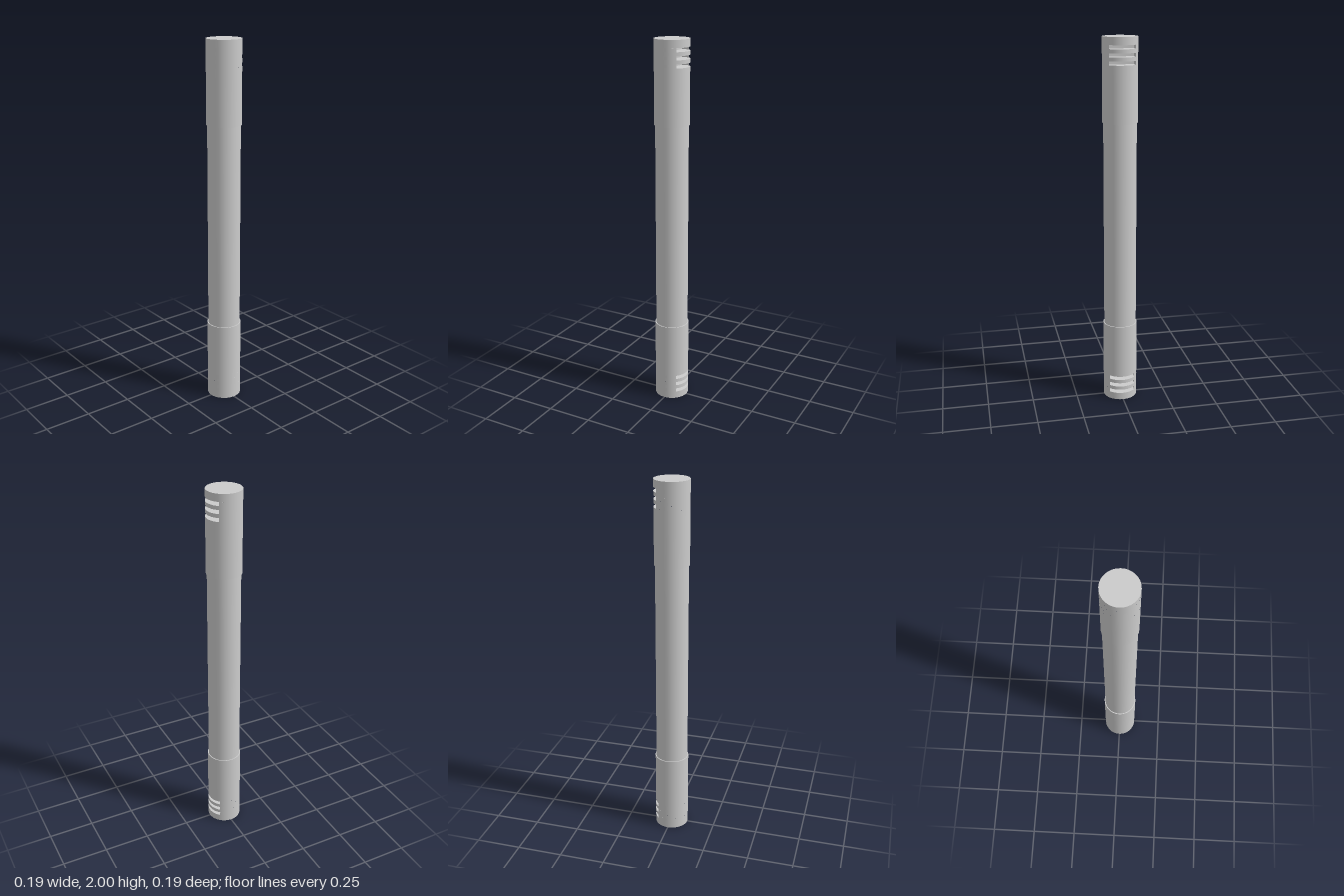
import * as THREE from 'three';

const R = 0.093, R_MID = 0.088, SLEEVE = 0.44;   // radii and length of the thicker ends
const SLOT_H = 0.02, SLOT_FROM_END = [0.04, 0.08, 0.12];
const A = THREE.MathUtils.degToRad(48);          // half angle of a slot opening
const HALF_W = R * Math.sin(A), LIP = R * Math.cos(A), FLOOR = 0.02;

export function createModel() {
  const model = new THREE.Group();
  const material = new THREE.MeshStandardMaterial({ color: 0xcccccc });

  const add = (parent, name, geometry, x = 0, y = 0, z = 0) => {
    const mesh = new THREE.Mesh(geometry, material);
    mesh.name = name;
    mesh.position.set(x, y, z);
    parent.add(mesh);
  };

  // Open wall between two heights; half = half angle left open at the back
  const wall = (parent, name, r, y0, y1, half = 0) =>
    add(parent, name, new THREE.CylinderGeometry(r, r, y1 - y0, half ? 24 : 32, 1, true,
      Math.PI + half, 2 * Math.PI - 2 * half), 0, (y0 + y1) / 2);

  // Flat piece turned to face up (+1) or down (-1)
  const facing = (geometry, dir) => geometry.rotateX(-dir * Math.PI / 2);

  // Outline of the slot's ledge, with its curved edge at the back
  const ledge = new THREE.Shape();
  ledge.moveTo(-HALF_W, FLOOR);
  ledge.lineTo(HALF_W, FLOOR);
  ledge.absarc(0, 0, R, Math.PI / 2 - A, Math.PI / 2 + A, false);
  ledge.closePath();

  // Recess behind one slot
  const slot = (parent, y) => {
    const group = new THREE.Group();
    group.name = 'ventSlot';
    parent.add(group);
    const mid = y + SLOT_H / 2, depth = LIP - FLOOR;
    add(group, 'slotLedge', facing(new THREE.ShapeGeometry(ledge, 8), 1), 0, y);
    add(group, 'slotCeiling', facing(new THREE.ShapeGeometry(ledge, 8), -1).rotateY(Math.PI), 0, y + SLOT_H);
    add(group, 'slotBack', new THREE.PlaneGeometry(2 * HALF_W, SLOT_H).rotateY(Math.PI), 0, mid, -FLOOR);
    for (const side of [-1, 1]) {
      add(group, 'slotEnd', new THREE.PlaneGeometry(depth, SLOT_H).rotateY(-side * Math.PI / 2),
        side * HALF_W, mid, -(FLOOR + LIP) / 2);
    }
  };

  // Thicker end sleeve with its cap, step and three slots
  const sleeve = (name, top) => {
    const group = new THREE.Group();
    group.name = name;
    model.add(group);
    const y0 = top ? 2 - SLEEVE : 0, y1 = y0 + SLEEVE;
    const starts = SLOT_FROM_END.map(d => (top ? 2 - d - SLOT_H : d)).sort((a, b) => a - b);
    let y = y0;
    for (const s of starts) {
      wall(group, 'sleeveBand', R, y, s);
      wall(group, 'slottedBand', R, s, s + SLOT_H, A);
      slot(group, s);
      y = s + SLOT_H;
    }
    wall(group, 'sleeveBand', R, y, y1);
    const out = top ? 1 : -1;
    add(group, 'endCap', facing(new THREE.CircleGeometry(R, 32, Math.PI / 2), out), 0, top ? y1 : y0);
    add(group, 'step', facing(new THREE.RingGeometry(R_MID, R, 32, 1, Math.PI / 2), -out), 0, top ? y0 : y1);
  };

  wall(model, 'shaft', R_MID, SLEEVE, 2 - SLEEVE);
  sleeve('bottomSleeve', false);
  sleeve('topSleeve', true);
  return model;
}
